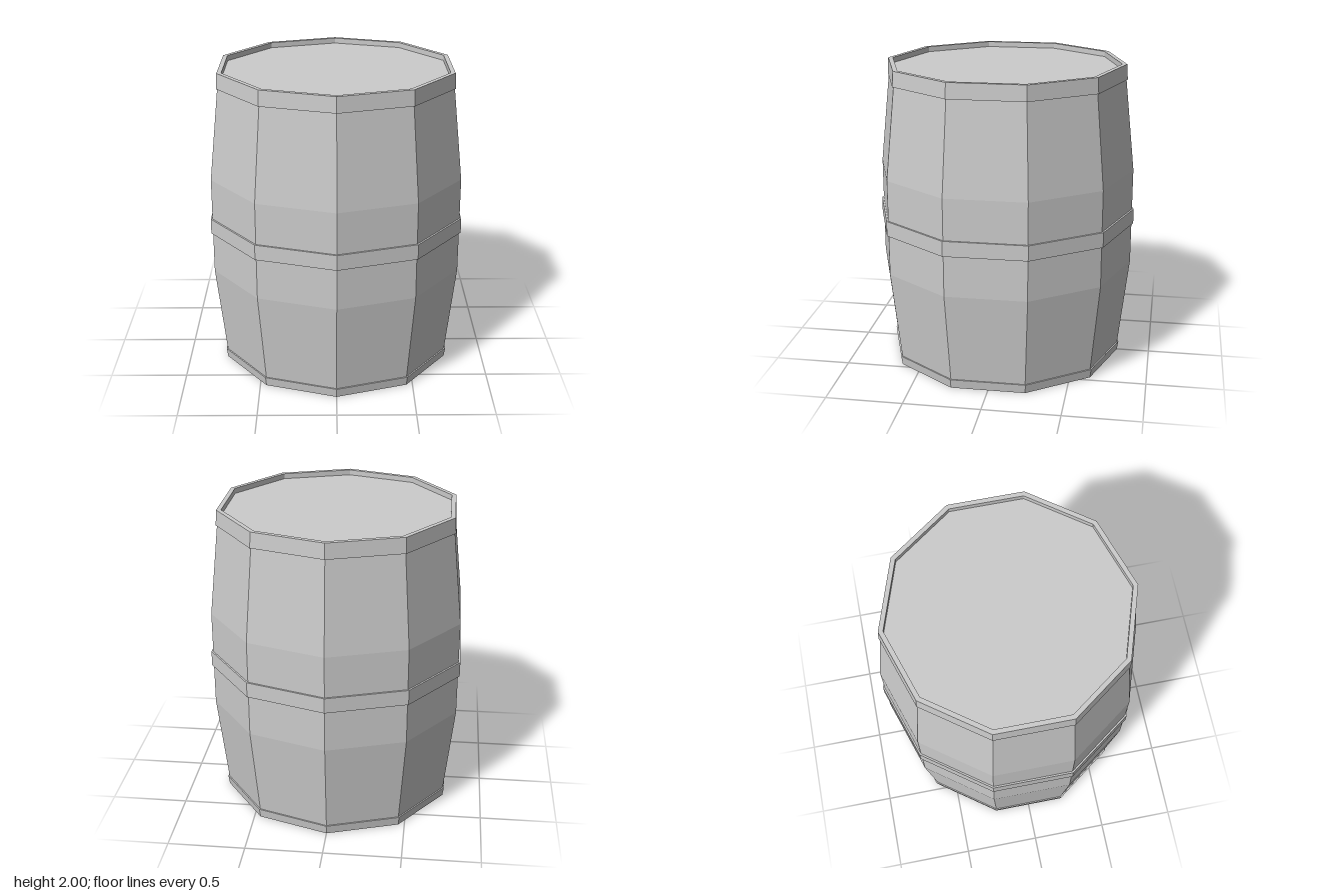
import * as THREE from 'three';

const SIDES = 10;

export function createModel() {
  const barrel = new THREE.Group();
  barrel.name = 'barrel';
  const material = new THREE.MeshStandardMaterial({ color: 0xcccccc, flatShading: true });

  // Revolve a [radius, height] profile, listed from bottom to top, into ten flat sides
  const addRing = (name, profile) => {
    const points = profile.map(([r, y]) => new THREE.Vector2(r, y));
    const mesh = new THREE.Mesh(new THREE.LatheGeometry(points, SIDES), material);
    mesh.name = name;
    barrel.add(mesh);
  };

  // Bulging staves with a closed base, rim and sunken lid
  addRing('body', [
    [0, 0], [0.775, 0], [0.85, 0.66], [0.85, 1.3], [0.774, 2],
    [0.755, 2], [0.755, 1.965], [0, 1.965],
  ]);

  // Thin hoops standing slightly proud of the staves
  addRing('bottomHoop', [[0.775, 0], [0.782, 0], [0.791, 0.06], [0.78, 0.06]]);
  addRing('middleHoop', [[0.848, 0.93], [0.862, 0.93], [0.862, 1.03], [0.848, 1.03]]);
  addRing('topHoop', [[0.784, 1.9], [0.793, 1.9], [0.786, 2], [0.774, 2]]);

  return barrel;
}
